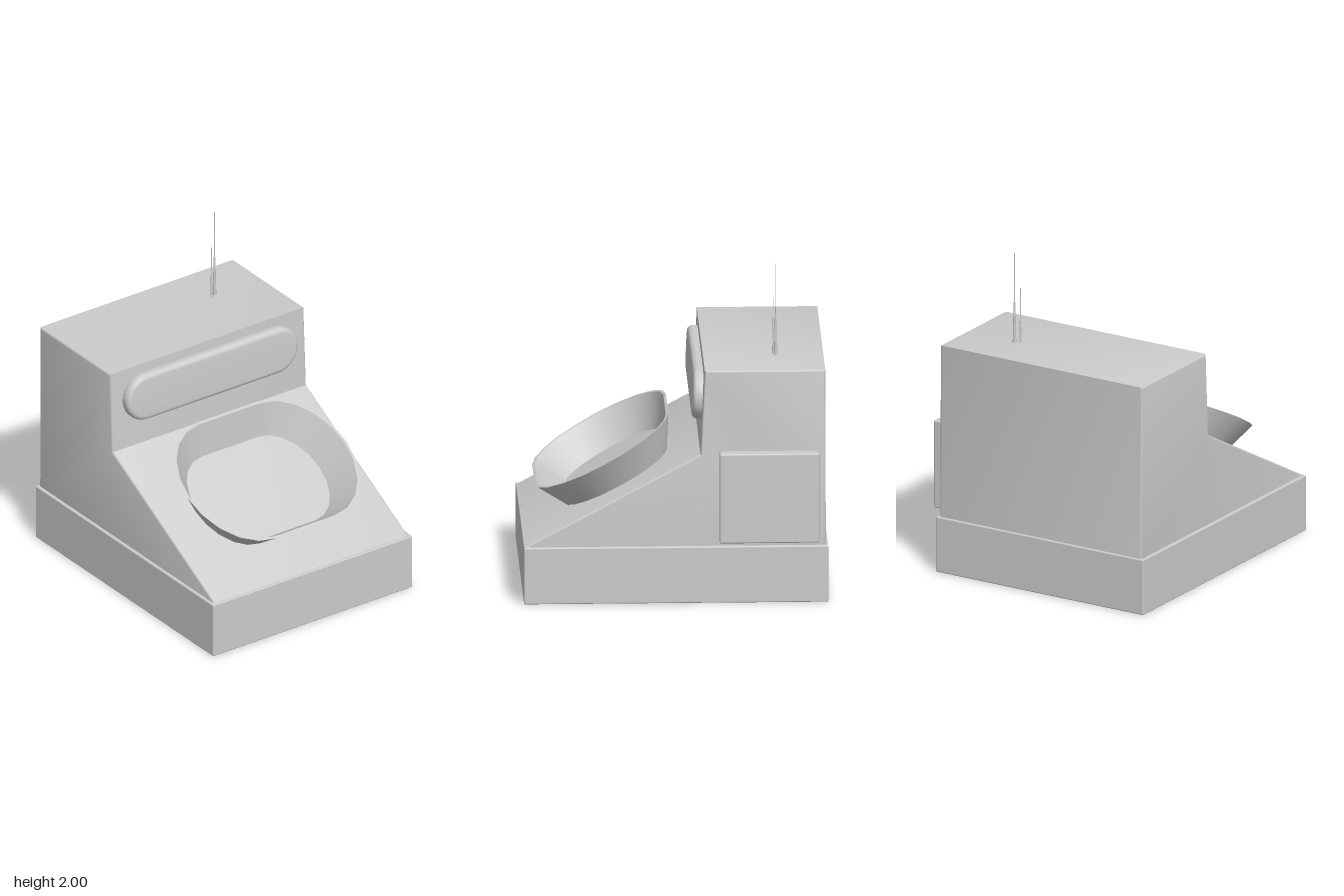
import * as THREE from 'three';
import { toCreasedNormals } from 'three/addons/utils/BufferGeometryUtils.js';
import { RoundedBoxGeometry } from 'three/addons/geometries/RoundedBoxGeometry.js';

const grey = new THREE.MeshStandardMaterial({ color: 0xcccccc });
const greyDouble = new THREE.MeshStandardMaterial({ color: 0xcccccc, side: THREE.DoubleSide });

function add(parent, name, geometry, x = 0, y = 0, z = 0, material = grey) {
  const mesh = new THREE.Mesh(geometry, material);
  mesh.name = name;
  mesh.position.set(x, y, z);
  parent.add(mesh);
  return mesh;
}

// Extrusion of total thickness depth, from z = 0, with rounded edges kept inside the outline
function roundedExtrude(shape, depth, bevel, bevelSegments) {
  const g = new THREE.ExtrudeGeometry(shape, {
    depth: depth - 2 * bevel, bevelSize: bevel, bevelThickness: bevel,
    bevelOffset: -bevel, bevelSegments, curveSegments: 20,
  });
  g.translate(0, 0, bevel);
  return toCreasedNormals(g, 0.65);
}

// Stadium ring lying on a plane tilted down towards +x
const TILT = 0.498;
function stadiumRing(cx, cy, half, straight, endRadius, cz = 0.015) {
  const points = [];
  const n = 10;
  for (const side of [1, -1]) {
    for (let i = 0; i <= n; i++) {
      const a = (i / n) * Math.PI;
      const u = side * half * Math.cos(a);
      const w = side * (straight + endRadius * Math.sin(a));
      points.push([cx + u * Math.cos(TILT), cy - u * Math.sin(TILT), cz + w]);
    }
  }
  return points;
}

// Closed band between two rings
function band(lower, upper) {
  const n = lower.length;
  const index = [];
  for (let i = 0; i < n; i++) {
    const j = (i + 1) % n;
    index.push(i, n + i, j, j, n + i, n + j);
  }
  const g = new THREE.BufferGeometry();
  g.setAttribute('position', new THREE.Float32BufferAttribute([...lower, ...upper].flat(), 3));
  g.setIndex(index);
  g.computeVertexNormals();
  return g;
}

export function createModel() {
  const model = new THREE.Group();
  model.name = 'console';

  // Plinth
  add(model, 'base', new RoundedBoxGeometry(1.82, 0.35, 1.47, 2, 0.008), 0, 0.175, 0.023);

  // Cabinet with tall back and sloping deck
  const profile = new THREE.Shape([
    [-0.897, 0.3], [0.9, 0.3], [0.9, 0.352], [-0.147, 0.915], [-0.172, 1.435], [-0.893, 1.435],
  ].map(([x, y]) => new THREE.Vector2(x, y)));
  add(model, 'body', roundedExtrude(profile, 1.43, 0.014, 3), 0, 0, -0.692);

  // Cushion-like pad on the upright wall
  const r = 0.15, l = 0.482;
  const stadium = new THREE.Shape();
  stadium.moveTo(-l, -r);
  stadium.lineTo(l, -r);
  stadium.absarc(l, 0, r, -Math.PI / 2, Math.PI / 2);
  stadium.lineTo(-l, r);
  stadium.absarc(-l, 0, r, Math.PI / 2, Math.PI * 1.5);
  const padGeometry = roundedExtrude(stadium, 0.08, 0.03, 5);
  padGeometry.rotateY(Math.PI / 2);
  add(model, 'pad', padGeometry, -0.184, 1.23, 0.022).rotation.z = 0.04;

  // Flared open tray on the deck
  const tray = new THREE.Group();
  tray.name = 'tray';
  model.add(tray);
  const outerLow = stadiumRing(0.34, 0.645, 0.343, 0.21, 0.252);
  const outerTop = stadiumRing(0.43, 0.822, 0.455, 0.22, 0.368);
  const innerTop = stadiumRing(0.43, 0.822, 0.438, 0.22, 0.351);
  const innerLow = stadiumRing(0.34, 0.653, 0.328, 0.21, 0.24);
  add(tray, 'trayOuterWall', band(outerLow, outerTop), 0, 0, 0, greyDouble);
  add(tray, 'trayRim', band(outerTop, innerTop), 0, 0, 0, greyDouble);
  add(tray, 'trayInnerWall', band(innerTop, innerLow), 0, 0, 0, greyDouble);

  // Access panel on the back
  add(model, 'backPanel', new RoundedBoxGeometry(0.595, 0.555, 0.09, 2, 0.01), -0.557, 0.658, -0.717);

  // Two stepped antennas: thick tapered foot and thin whip
  const antennas = [
    { x: -0.608, z: -0.345, mid: 1.69, top: 2.0, radius: 0.011 },
    { x: -0.594, z: -0.312, mid: 1.6, top: 1.78, radius: 0.007 },
  ];
  for (const { x, z, mid, top, radius } of antennas) {
    const antenna = new THREE.Group();
    antenna.name = 'antenna';
    antenna.position.set(x, 1.43, z);
    model.add(antenna);
    const foot = mid - 1.43, whip = top - mid;
    add(antenna, 'antennaFoot', new THREE.CylinderGeometry(radius * 0.5, radius, foot, 10), 0, foot / 2, 0);
    add(antenna, 'antennaWhip', new THREE.CylinderGeometry(0.002, 0.003, whip, 8), 0, foot + whip / 2, 0);
  }

  return model;
}
